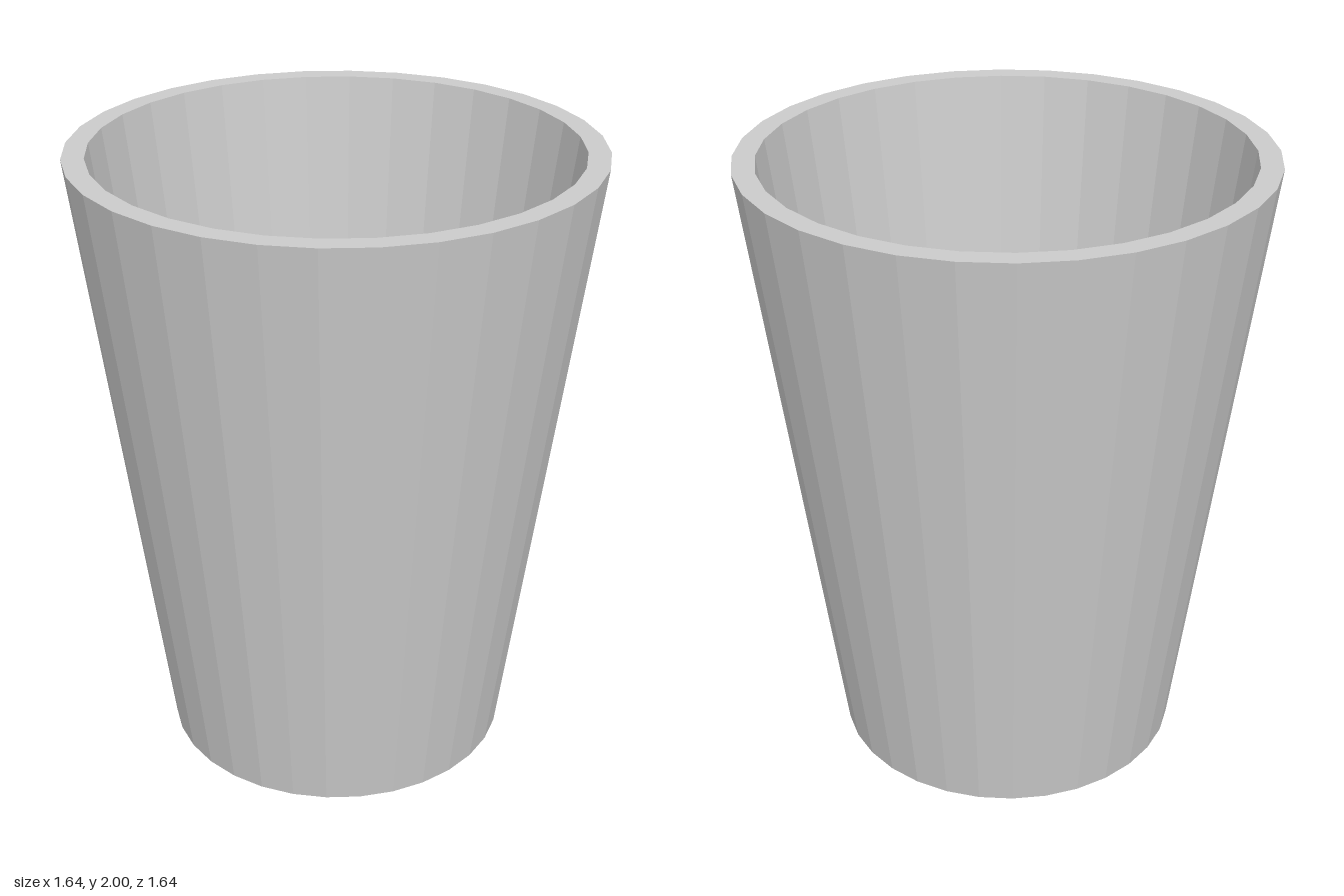
import * as THREE from 'three';

const SIDES = 32;

export function createModel() {
  const group = new THREE.Group();
  group.name = 'taperedCup';

  // One closed cross-section: underside, outer wall, flat rim, inner wall, floor
  const profile = [
    [0, 0],
    [0.558, 0],
    [0.818, 2],
    [0.749, 2],
    [0.493, 0.03],
    [0, 0.03],
  ].map(([r, y]) => new THREE.Vector2(r, y));

  const cup = new THREE.Mesh(
    new THREE.LatheGeometry(profile, SIDES),
    new THREE.MeshStandardMaterial({ color: 0xcccccc, flatShading: true })
  );
  cup.name = 'cup';
  group.add(cup);

  return group;
}
